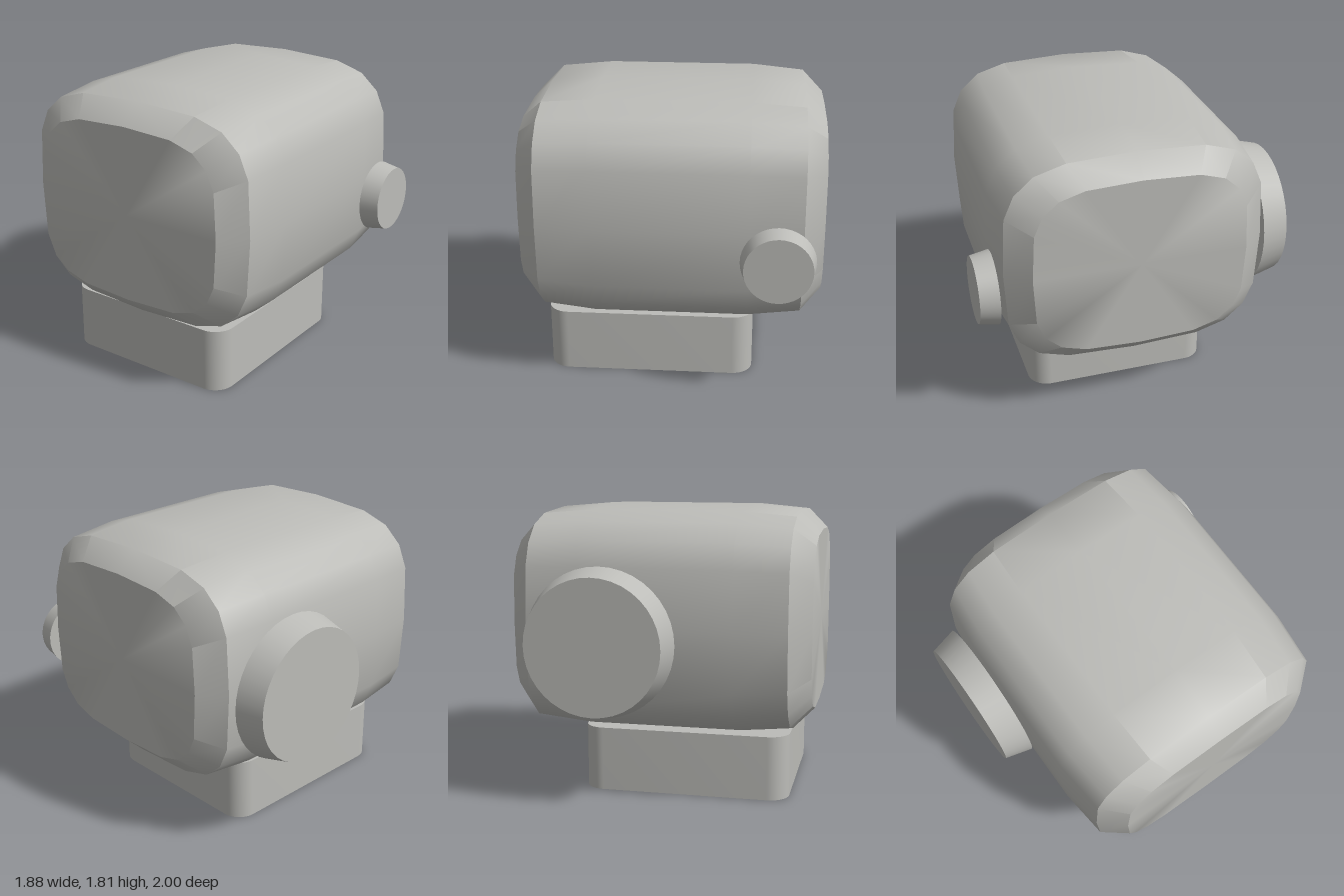
import * as THREE from 'three';
import { toCreasedNormals } from 'three/addons/utils/BufferGeometryUtils.js';

const CENTER_Y = 1.095;
const CENTER_Z = 0.03;

// Rounded barrel: one cross-section scaled along x, closed with flat ends
function bodyGeometry() {
  const quarter = [[0.85, 0], [0.83, 0.375], [0.765, 0.525], [0.64, 0.635], [0.44, 0.695], [0, 0.715]];
  const half = [...quarter, ...quarter.slice(0, 5).reverse().map(([z, y]) => [-z, y])];
  const ring = [...half, ...half.slice(1, -1).map(([z, y]) => [-z, -y])];
  const stations = [[-0.94, 0.785], [-0.81, 0.959], [-0.48, 1], [0.48, 1], [0.81, 0.959], [0.94, 0.785]];
  const n = ring.length;
  const positions = [];
  const indices = [];
  for (const [x, s] of stations) {
    for (const [z, y] of ring) positions.push(x, CENTER_Y + y * s, CENTER_Z + z * s);
  }
  const last = (stations.length - 1) * n;
  const startCenter = stations.length * n;
  positions.push(-0.94, CENTER_Y, CENTER_Z, 0.94, CENTER_Y, CENTER_Z);
  for (let j = 0; j < n; j++) {
    const k = (j + 1) % n;
    for (let i = 0; i < last; i += n) {
      indices.push(i + j, i + n + j, i + n + k, i + j, i + n + k, i + k);
    }
    indices.push(startCenter, j, k, startCenter + 1, last + k, last + j);
  }
  const geometry = new THREE.BufferGeometry();
  geometry.setAttribute('position', new THREE.Float32BufferAttribute(positions, 3));
  geometry.setIndex(indices);
  return toCreasedNormals(geometry, THREE.MathUtils.degToRad(40));
}

// Upright block with rounded vertical corners
function baseGeometry(width, depth, height, r) {
  const w = width / 2;
  const d = depth / 2;
  const shape = new THREE.Shape();
  shape.moveTo(w, -d + r);
  shape.absarc(w - r, d - r, r, 0, Math.PI / 2);
  shape.absarc(-w + r, d - r, r, Math.PI / 2, Math.PI);
  shape.absarc(-w + r, -d + r, r, Math.PI, Math.PI * 1.5);
  shape.absarc(w - r, -d + r, r, Math.PI * 1.5, Math.PI * 2);
  const geometry = new THREE.ExtrudeGeometry(shape, { depth: height, bevelEnabled: false, curveSegments: 8 });
  geometry.rotateX(-Math.PI / 2);
  return toCreasedNormals(geometry, 0.6);
}

export function createModel() {
  const group = new THREE.Group();
  const grey = new THREE.MeshStandardMaterial({ color: 0xbcbcb8 });
  grey.name = 'light grey';

  const add = (name, geometry, x, y, z) => {
    const mesh = new THREE.Mesh(geometry, grey);
    mesh.name = name;
    mesh.position.set(x, y, z);
    group.add(mesh);
  };

  // Tapered disc whose narrow end points away from the body
  const addKnob = (name, x, y, zInner, zOuter, rInner, rOuter) => {
    const geometry = new THREE.CylinderGeometry(rOuter, rInner, Math.abs(zOuter - zInner), 40);
    geometry.rotateX(Math.sign(zOuter) * Math.PI / 2);
    add(name, geometry, x, y, (zInner + zOuter) / 2);
  };

  add('body', bodyGeometry(), 0, 0, 0);
  add('base', baseGeometry(1.32, 1.2, 0.41, 0.13), -0.14, 0, CENTER_Z);
  addKnob('frontKnob', 0.66, 0.925, 0.88, 1, 0.23, 0.208);
  addKnob('backKnob', 0.33, 1.01, -0.825, -1, 0.468, 0.423);
  return group;
}
